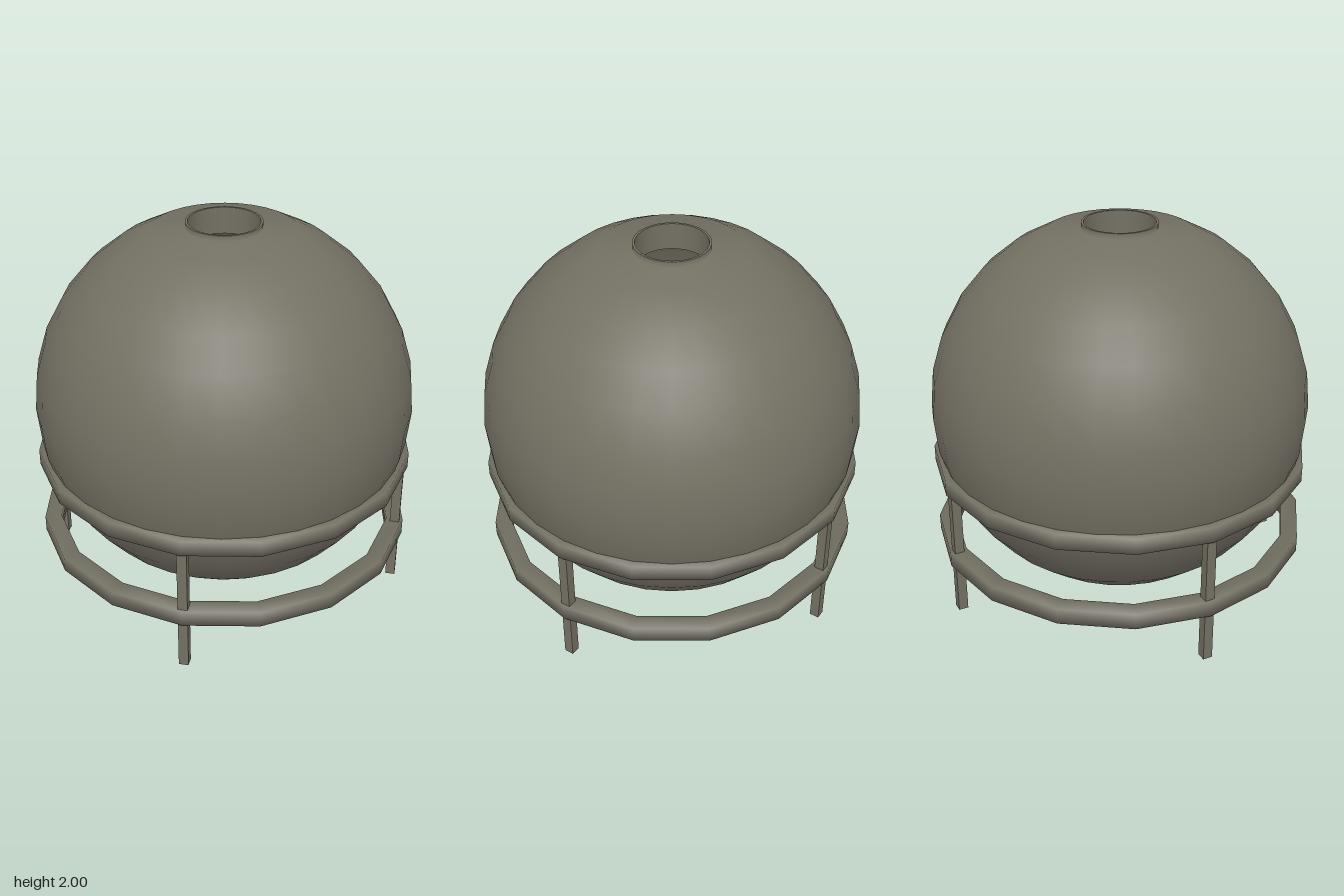
import * as THREE from 'three';

const CENTER_Y = 1.037;
const RADIUS = 0.985;
const STEP = Math.PI / 16;

export function createModel() {
  const model = new THREE.Group();
  model.name = 'sphericalTank';
  const metal = new THREE.MeshStandardMaterial({ color: 0x737063 });
  metal.name = 'drab olive grey';

  const add = (name, geometry, x = 0, y = 0, z = 0) => {
    const mesh = new THREE.Mesh(geometry, metal);
    mesh.name = name;
    mesh.position.set(x, y, z);
    model.add(mesh);
    return mesh;
  };
  const lathe = (points, segments) =>
    new THREE.LatheGeometry(points.map(([r, y]) => new THREE.Vector2(r, y)), segments);

  // Meridian of a sphere, from the bottom pole up to the second ring below the top
  const meridian = (radius) => {
    const points = [];
    for (let i = 0; i <= 14; i++) {
      const a = i * STEP;
      points.push([i === 0 ? 0 : radius * Math.sin(a), CENTER_Y - radius * Math.cos(a)]);
    }
    return points;
  };

  // Outer shell, running smoothly into the short neck of the opening
  add('tankShell', lathe([...meridian(RADIUS), [0.192, 1.968], [0.192, 2]], 32));

  // Inside of the hollow shell, seen through the opening
  add('tankInterior', lathe([...meridian(0.972), [0.18, 1.955]].reverse(), 32));

  // Rim and inner wall of the opening
  add('openingRim', lathe([[0.192, 2], [0.18, 2]], 32));
  add('openingWall', lathe([[0.18, 2], [0.18, 1.86]], 32));

  // Two square-section support hoops with sixteen sides
  const hoop = lathe([
    [0.9, 0], [0.9, -0.0425], [0.988, -0.0425],
    [0.988, 0.0425], [0.9, 0.0425], [0.9, 0],
  ], 16);
  add('lowerHoop', hoop, 0, 0.313, 0);
  add('upperHoop', hoop, 0, 0.742, 0);

  // Four square legs under the hoops
  const leg = new THREE.BoxGeometry(0.05, 0.74, 0.05);
  for (let i = 0; i < 4; i++) {
    const a = (i * Math.PI) / 2;
    add('leg' + (i + 1), leg, 0.946 * Math.sin(a), 0.37, 0.946 * Math.cos(a));
  }

  return model;
}
